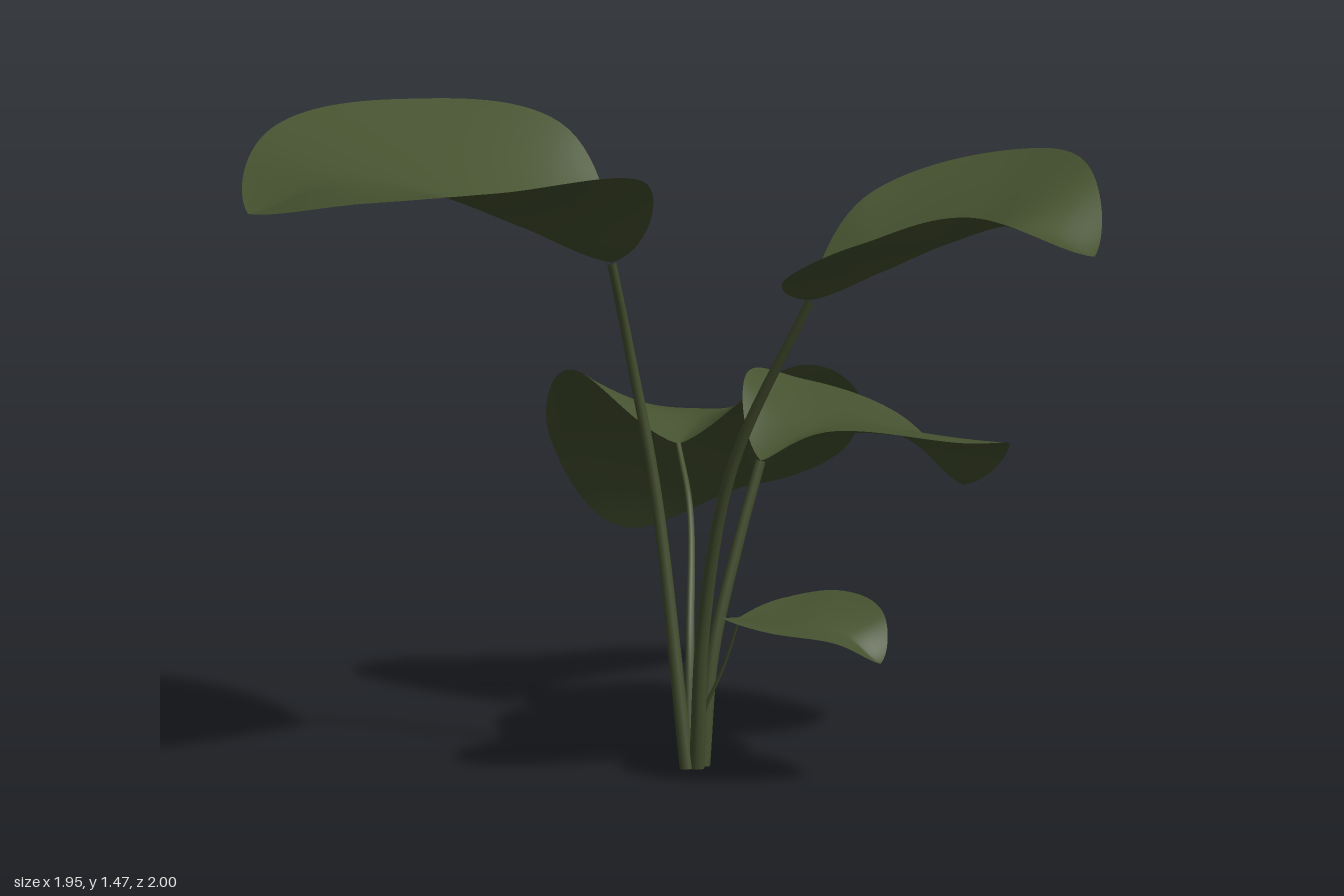
import * as THREE from 'three';

const leafGreen = new THREE.MeshStandardMaterial({ color: 0x465230, side: THREE.DoubleSide });
leafGreen.name = 'leafGreen';
const stemGreen = new THREE.MeshStandardMaterial({ color: 0x444e2e });
stemGreen.name = 'stemGreen';

// Smooth height from base to tip through three evenly spaced values.
function heightCurve(y0, between, y1) {
  const ys = [y0, ...between, y1];
  const spline = new THREE.SplineCurve(ys.map((y, i) => new THREE.Vector2(i / 4, y)));
  return (t) => spline.getPoint(t).y;
}

// Rounded blade: each half is half an ellipse whose widest point is shifted along the rib,
// pulled back into a lobe at the base and pushed to a shoulder at the tip; the cross-section is cupped.
function makeLeaf(name, base, tip, ribHeights, halves) {
  const ROWS = 56, HALF = 12, COLS = HALF * 2 + 1;
  const axis = new THREE.Vector2(tip.x - base.x, tip.z - base.z);
  const length = axis.length();
  axis.normalize();
  const ribY = heightCurve(base.y, ribHeights, tip.y);
  const edgeY = halves.map((h) => heightCurve(base.y, h.heights, tip.y));
  const positions = [], index = [];
  for (let i = 0; i <= ROWS; i++) {
    const t = i / ROWS, angle = Math.PI * t;
    for (let j = -HALF; j <= HALF; j++) {
      const k = j < 0 ? 0 : 1;
      const half = halves[k];
      const s = Math.abs(j) / HALF;
      const pull = THREE.MathUtils.lerp(half.lobe, half.shoulder, THREE.MathUtils.smoothstep(t, 0.2, 0.8));
      const edgeAlong = length * (1 - Math.cos(angle)) / 2 + half.shift * Math.sin(angle) - pull * Math.sin(2 * angle);
      const along = THREE.MathUtils.lerp(length * t, edgeAlong, s);
      const across = (k === 0 ? 1 : -1) * half.width * Math.sin(angle) * s;
      positions.push(
        base.x + axis.x * along + axis.y * across,
        THREE.MathUtils.lerp(ribY(t), edgeY[k](t), Math.pow(s, 1.5)),
        base.z + axis.y * along - axis.x * across,
      );
    }
  }
  for (let i = 0; i < ROWS; i++) {
    for (let j = 0; j < COLS - 1; j++) {
      const a = i * COLS + j, b = a + 1, c = a + COLS, d = c + 1;
      index.push(a, b, c, b, d, c);
    }
  }
  const geo = new THREE.BufferGeometry();
  geo.setAttribute('position', new THREE.Float32BufferAttribute(positions, 3));
  geo.setIndex(index);
  geo.computeVertexNormals();
  const mesh = new THREE.Mesh(geo, leafGreen);
  mesh.name = name;
  return mesh;
}

// Tube that narrows from the ground to the leaf.
function makeStem(name, points, bottomRadius, topRadius) {
  const SEG = 40, SIDES = 10;
  const path = new THREE.CatmullRomCurve3(points, false, 'centripetal');
  const geo = new THREE.TubeGeometry(path, SEG, 1, SIDES, false);
  const pos = geo.attributes.position, v = new THREE.Vector3();
  for (let i = 0; i < pos.count; i++) {
    const t = Math.floor(i / (SIDES + 1)) / SEG;
    const c = path.getPointAt(t);
    v.fromBufferAttribute(pos, i).sub(c).multiplyScalar(THREE.MathUtils.lerp(bottomRadius, topRadius, t)).add(c);
    pos.setXYZ(i, v.x, Math.max(0, v.y), v.z);
  }
  const mesh = new THREE.Mesh(geo, stemGreen);
  mesh.name = name;
  return mesh;
}

const at = (x, y, z) => new THREE.Vector3(x, y, z);
const half = (width, shift, lobe, shoulder, ...heights) => ({ width, shift, lobe, shoulder, heights });

export function createModel() {
  const plant = new THREE.Group();
  plant.name = 'leafyPlant';

  // A stem from the ground to the base of its leaf.
  const addShoot = (name, stem, radii, base, tip, ribHeights, ...halves) => {
    plant.add(makeStem(name + 'Stem', [...stem, base], ...radii));
    plant.add(makeLeaf(name + 'Leaf', base, tip, ribHeights, halves));
  };

  // Largest leaf, front right
  addShoot('tallRight', [at(-0.055, 0, 0.21), at(-0.13, 0.62, 0.2), at(-0.18, 0.95, 0.24)], [0.016, 0.01],
    at(-0.2, 1.165, 0.315), at(-0.9, 1.33, 0.82), [1.26, 1.35, 1.39],
    half(0.45, 0, 0.09, -0.05, 1.41, 1.43, 1.4),
    half(0.495, -0.1, 0.06, 0.02, 1.42, 1.47, 1.45));

  // Tall leaf, front left
  addShoot('tallLeft', [at(-0.035, 0, 0.2), at(0, 0.35, 0.26), at(0.09, 0.72, 0.34)], [0.018, 0.01],
    at(0.295, 1.125, 0.42), at(0.975, 1.27, 0.475), [1.2, 1.28, 1.33],
    half(0.34, 0, 0.05, -0.01, 1.33, 1.43, 1.43),
    half(0.355, -0.09, 0, -0.043, 1.22, 1.33, 1.39));

  // Drooping leaf at the back
  addShoot('back', [at(-0.06, 0, 0.175), at(-0.08, 0.28, 0.1), at(-0.13, 0.53, -0.07)], [0.013, 0.006],
    at(-0.2, 0.655, -0.215), at(-0.24, 0.42, -1), [0.68, 0.66, 0.56],
    half(0.405, 0.06, -0.013, -0.048, 0.78, 0.57, 0.33),
    half(0.295, 0.09, -0.031, -0.035, 0.8, 0.7, 0.52));

  // Middle leaf, back left
  addShoot('middle', [at(-0.03, 0, 0.165), at(-0.015, 0.25, 0.14), at(0.03, 0.5, 0.09)], [0.016, 0.012],
    at(0.07, 0.68, 0.05), at(0.425, 0.57, -0.355), [0.73, 0.74, 0.68],
    half(0.325, 0.055, 0.01, 0.01, 0.83, 0.78, 0.7),
    half(0.335, 0.055, 0.075, 0.01, 0.78, 0.74, 0.7));

  // Small low leaf
  addShoot('small', [at(-0.045, 0, 0.19), at(-0.015, 0.13, 0.21), at(0.035, 0.24, 0.225)], [0.005, 0.003],
    at(0.08, 0.36, 0.25), at(0.43, 0.285, 0.32), [0.36, 0.36, 0.34],
    half(0.155, 0, 0, 0, 0.39, 0.41, 0.38),
    half(0.19, 0, 0.02, 0, 0.38, 0.37, 0.35));

  return plant;
}
